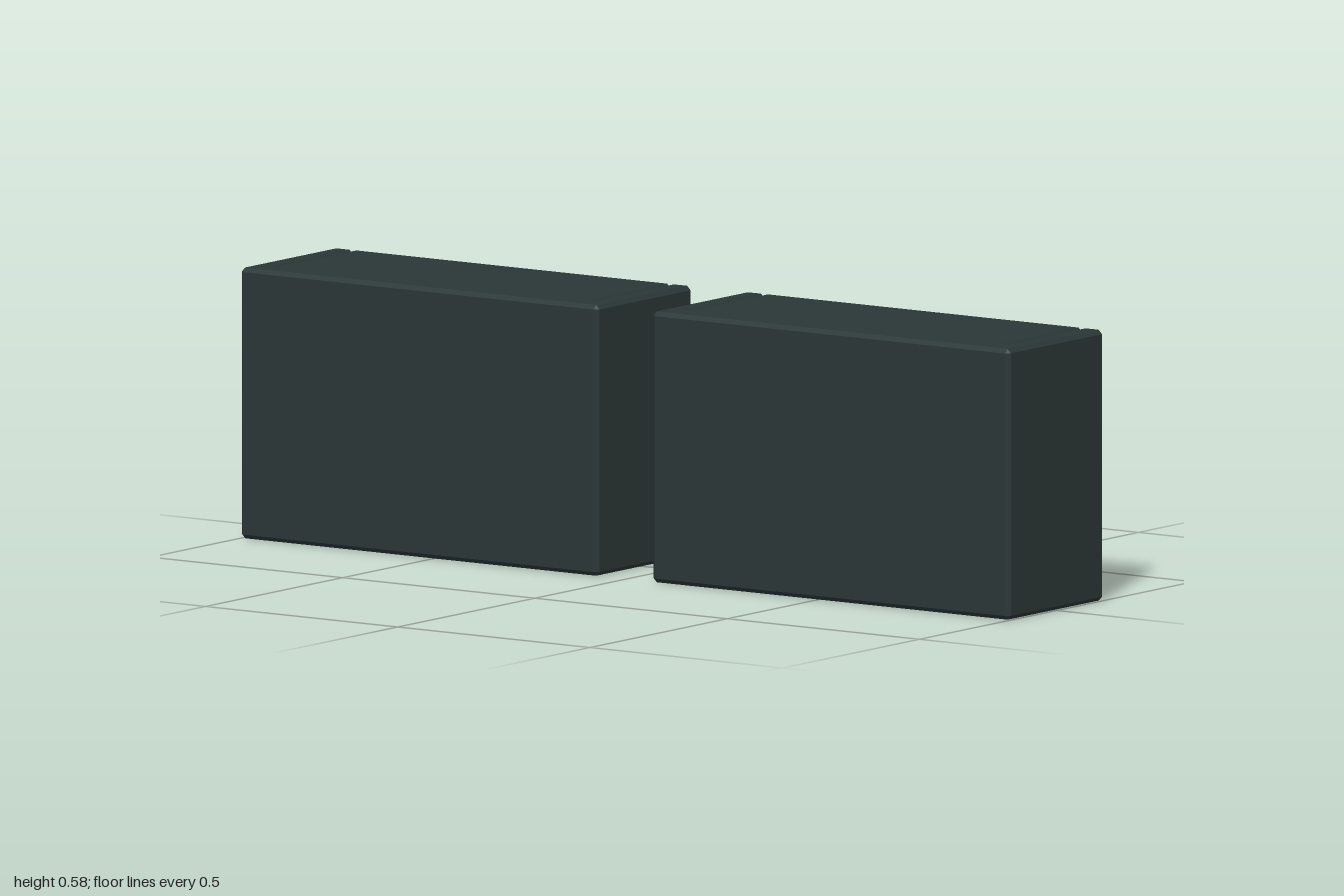
import * as THREE from 'three';
import { ConvexGeometry } from 'three/addons/geometries/ConvexGeometry.js';

const W = 0.93, H = 0.58, D = 0.35;     // one cabinet
const T = 0.052;                        // board thickness
const PANEL = 0.065;                    // front panel thickness

// Box with flat chamfers on every edge: three points per corner
function chamferBox(w, h, d, c) {
  const pts = [];
  for (const sx of [-1, 1]) for (const sy of [-1, 1]) for (const sz of [-1, 1]) {
    const x = w / 2, y = h / 2, z = d / 2;
    pts.push(new THREE.Vector3(sx * x, sy * (y - c), sz * (z - c)));
    pts.push(new THREE.Vector3(sx * (x - c), sy * y, sz * (z - c)));
    pts.push(new THREE.Vector3(sx * (x - c), sy * (y - c), sz * z));
  }
  return new ConvexGeometry(pts);
}

export function createModel() {
  const model = new THREE.Group();
  model.name = 'cabinetPair';
  const paint = new THREE.MeshStandardMaterial({ color: 0x2a3636 });
  paint.name = 'dark slate';

  function board(parent, name, size, pos, c = 0.009) {
    const mesh = new THREE.Mesh(chamferBox(...size, c), paint);
    mesh.name = name;
    mesh.position.set(...pos);
    parent.add(mesh);
  }

  for (const side of [-1, 1]) {
    const cabinet = new THREE.Group();
    cabinet.name = side > 0 ? 'leftCabinet' : 'rightCabinet';
    cabinet.position.x = side * (1 - W / 2);

    // Closed front; the carcass boards run into it
    board(cabinet, 'frontPanel', [W, H, PANEL], [0, H / 2, D / 2 - PANEL / 2]);
    const depth = D - 0.009, z = -0.0045;
    for (const s of [-1, 1]) {
      board(cabinet, s > 0 ? 'leftSide' : 'rightSide', [T, H, depth], [s * (W - T) / 2, H / 2, z]);
      board(cabinet, s > 0 ? 'topBoard' : 'bottomBoard', [W - 2 * T, T, depth],
        [0, H / 2 + s * (H - T) / 2, z]);
    }

    // Two narrow rails across the open back
    for (const y of [0.21, 0.37])
      board(cabinet, 'backRail', [W - 2 * T + 0.01, 0.03, 0.03], [0, y, -D / 2 + 0.02], 0.007);

    model.add(cabinet);
  }
  return model;
}
